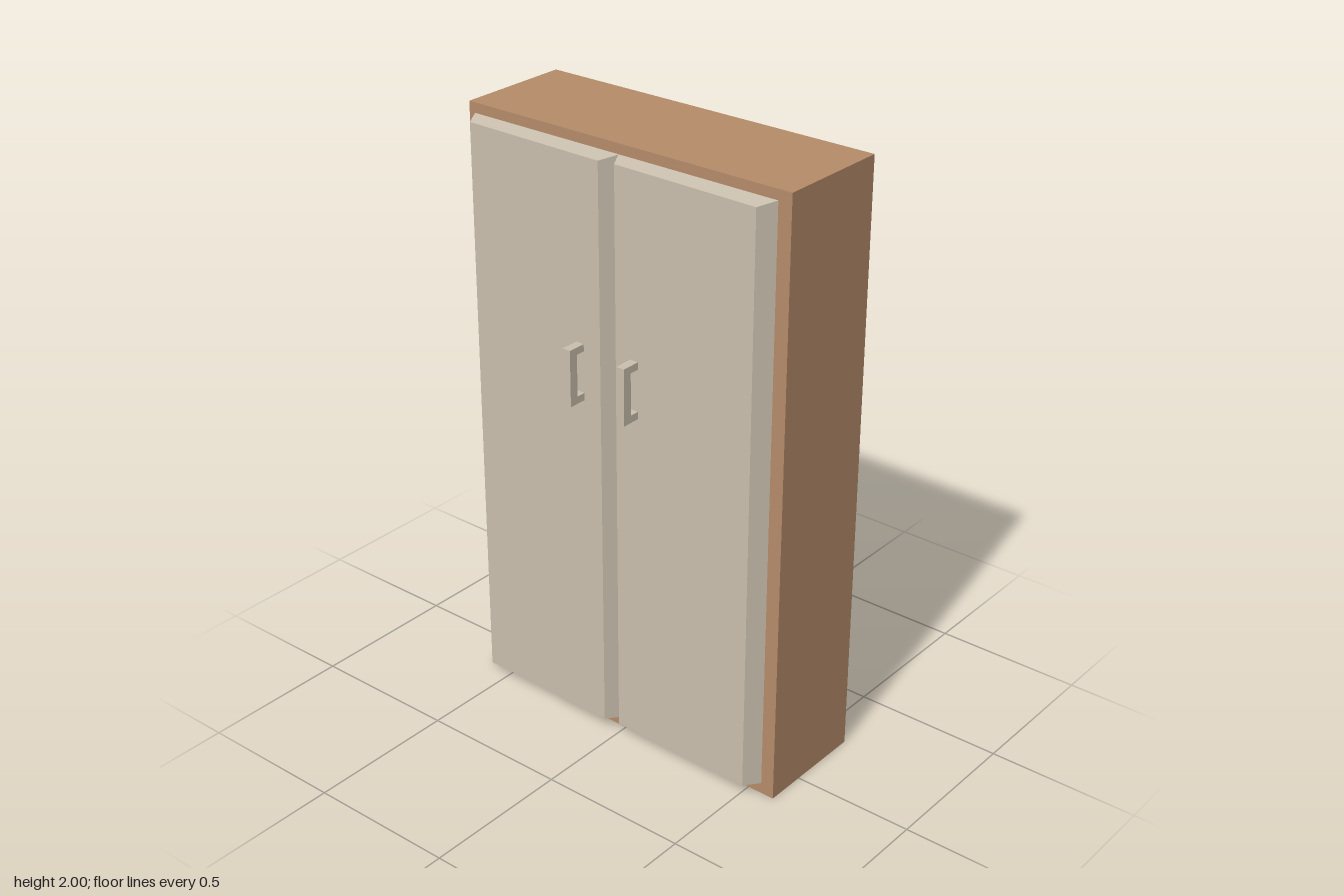
import * as THREE from 'three';

export function createModel() {
  const model = new THREE.Group();
  model.name = 'wardrobe';

  const wood = new THREE.MeshStandardMaterial({ color: 0xb58c69 });
  wood.name = 'brown wood';
  const cream = new THREE.MeshStandardMaterial({ color: 0xcabfae });
  cream.name = 'cream paint';

  function add(name, geometry, material) {
    const mesh = new THREE.Mesh(geometry, material);
    mesh.name = name;
    model.add(mesh);
    return mesh;
  }

  // Cabinet body: its doors are on the -x side
  const faceX = -0.136;
  const body = add('cabinetBody', new THREE.BoxGeometry(0.387, 2, 1.19), wood);
  body.position.set(faceX + 0.387 / 2, 1, 0);

  // Door: a slab with bevelled edges and a slightly slanting outer face
  function doorGeometry(z0, z1) {
    const g = new THREE.BoxGeometry(1, 1, 1);
    const p = g.attributes.position;
    for (let i = 0; i < p.count; i++) {
      const outer = p.getX(i) < 0;
      const high = p.getY(i) > 0;
      const far = p.getZ(i) > 0;
      const x = !outer ? faceX : far ? -0.193 : -0.184;
      const y = high ? (outer ? 1.957 : 1.967) : (outer ? 0.046 : 0.037);
      const z = far ? z1 - (outer ? 0.031 : 0) : z0 + (outer ? 0.024 : 0);
      p.setXYZ(i, x, y, z);
    }
    g.computeVertexNormals();
    return g;
  }

  // Handle: a square-cornered U pulled along z
  function handleGeometry(outX) {
    const inX = -0.18, low = 1.18, high = 1.366, t = 0.024, bar = 0.031;
    const shape = new THREE.Shape([
      [inX, low], [inX, low + t], [outX + bar, low + t], [outX + bar, high - t],
      [inX, high - t], [inX, high], [outX, high], [outX, low],
    ].map(([x, y]) => new THREE.Vector2(x, y)));
    return new THREE.ExtrudeGeometry(shape, { depth: 0.029, bevelEnabled: false });
  }

  const doors = [
    { side: 'back', z0: -0.573, z1: -0.011, handleZ: -0.136, outX: -0.254 },
    { side: 'front', z0: -0.013, z1: 0.549, handleZ: 0.068, outX: -0.249 },
  ];
  for (const d of doors) {
    add(d.side + 'Door', doorGeometry(d.z0, d.z1), cream);
    add(d.side + 'Handle', handleGeometry(d.outX), cream).position.z = d.handleZ;
  }

  return model;
}
